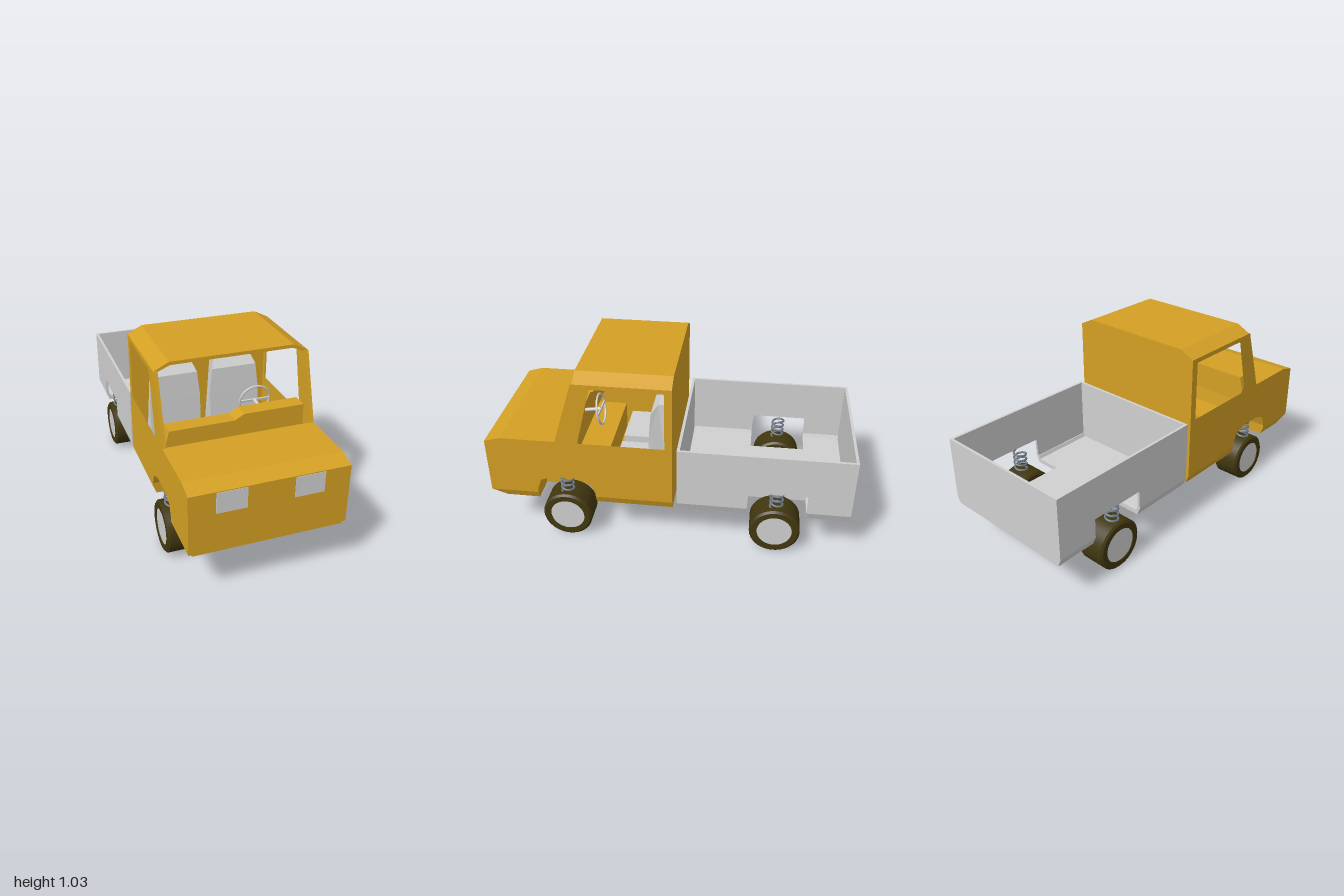
import * as THREE from 'three';
import { toCreasedNormals } from 'three/addons/utils/BufferGeometryUtils.js';

const mat = (name, color) => Object.assign(new THREE.MeshStandardMaterial({ color }), { name });

// Coil path for the suspension springs
class Helix extends THREE.Curve {
  constructor(radius, height, turns) {
    super();
    Object.assign(this, { radius, height, turns });
  }
  getPoint(t, target = new THREE.Vector3()) {
    const a = t * this.turns * Math.PI * 2;
    return target.set(Math.cos(a) * this.radius, t * this.height, Math.sin(a) * this.radius);
  }
}

const outline = (pts) => new THREE.Shape(pts.map(([a, b]) => new THREE.Vector2(a, b)));

// Extrude a [z, y] outline across x0..x1
function acrossX(pts, x0, x1, hole) {
  const s = outline(pts);
  if (hole) s.holes.push(outline(hole));
  return new THREE.ExtrudeGeometry(s, { depth: x1 - x0, bevelEnabled: false })
    .rotateY(-Math.PI / 2).translate(x1, 0, 0);
}

// Extrude an [x, y] outline along z0..z1
function alongZ(pts, z0, z1) {
  return new THREE.ExtrudeGeometry(outline(pts), { depth: z1 - z0, bevelEnabled: false }).translate(0, 0, z0);
}

function box(x0, x1, y0, y1, z0, z1) {
  return new THREE.BoxGeometry(x1 - x0, y1 - y0, z1 - z0)
    .translate((x0 + x1) / 2, (y0 + y1) / 2, (z0 + z1) / 2);
}

// Sill strip whose lower edge tucks inward, optionally with a slanted front end
function sill(side, z0, z1, zLow = z1) {
  const g = box(0.39, 0.41, 0.235, 0.28, z0, z1);
  const p = g.attributes.position;
  for (let i = 0; i < p.count; i++) {
    if (p.getY(i) < 0.25) {
      p.setX(i, p.getX(i) - 0.018);
      if (p.getZ(i) > z1 - 0.001) p.setZ(i, zLow);
    }
    p.setX(i, p.getX(i) * side);
  }
  if (side < 0) {
    const a = g.index.array;
    for (let i = 0; i < a.length; i += 3) [a[i], a[i + 1]] = [a[i + 1], a[i]];
  }
  const flat = g.toNonIndexed();
  flat.computeVertexNormals();
  return flat;
}

export function createModel() {
  const yellow = mat('yellow paint', 0xd4a024);
  const grey = mat('light grey', 0xd0d0d0);
  const rubber = mat('dark rubber', 0x41370f);
  const steel = mat('spring steel', 0x707a88);

  const model = new THREE.Group();
  model.name = 'pickupTruck';
  const group = (name) => {
    const g = new THREE.Group();
    g.name = name;
    model.add(g);
    return g;
  };
  const add = (parent, name, geo, material) => {
    const m = new THREE.Mesh(geo, material);
    m.name = name;
    parent.add(m);
    return m;
  };
  // Span lo..hi on the chosen side of the centre line
  const span = (side, lo, hi) => (side > 0 ? [lo, hi] : [-hi, -lo]);

  // Cab
  const cab = group('cab');
  const arch = [[0.73, 0.28], [0.73, 0.3], [0.705, 0.37], [0.635, 0.395], [0.5, 0.395], [0.425, 0.365], [0.4, 0.3], [0.4, 0.28]];
  const bonnet = [[0.6, 0.63], [0.91, 0.63], [1, 0.605]];
  const firewall = [[0.37, 0.235], [0.37, 0.42], [0.56, 0.42], [0.58, 0.6]];
  add(cab, 'noseCore', acrossX([...firewall, ...bonnet, [1, 0.27], [0.92, 0.235]], -0.25, 0.25), yellow);
  for (const side of [1, -1]) {
    const [a, b] = span(side, 0.25, 0.39);
    add(cab, 'noseSide', acrossX([...firewall, ...bonnet, [1, 0.27], [0.92, 0.235], [0.73, 0.235], ...arch, [0.4, 0.235]], a, b), yellow);
    const [c, d] = span(side, 0.39, 0.41);
    add(cab, 'sidePanel', acrossX(
      [[-0.03, 0.28], [-0.03, 0.99], [0.49, 0.99], [0.605, 0.63], ...bonnet, [1, 0.28], ...arch],
      c, d, [[0.01, 0.63], [0.01, 0.965], [0.395, 0.965], [0.48, 0.63]]), yellow);
    add(cab, 'frontSill', sill(side, 0.73, 1, 0.92), yellow);
    add(cab, 'doorSill', sill(side, -0.03, 0.4), yellow);
    const [e, f] = span(side, 0.12, 0.275);
    add(cab, 'headlight', box(e, f, 0.487, 0.6, 0.997, 1.002), grey);
  }
  add(cab, 'floor', box(-0.39, 0.39, 0.235, 0.255, -0.03, 0.37), yellow);
  add(cab, 'roof', alongZ([[-0.41, 0.99], [-0.39, 0.985], [-0.325, 1.012], [0.325, 1.012], [0.39, 0.985], [0.41, 0.99], [0.33, 1.03], [-0.33, 1.03]], -0.03, 0.482), yellow);
  add(cab, 'rearWall', alongZ([[-0.392, 0.235], [0.392, 0.235], [0.41, 0.28], [0.41, 0.99], [0.33, 1.03], [-0.33, 1.03], [-0.41, 0.99], [-0.41, 0.28]], -0.031, -0.012), yellow);
  add(cab, 'dashboard', alongZ([[-0.385, 0.55], [0.385, 0.55], [0.36, 0.63], [0.36, 0.73], [0.03, 0.73], [-0.02, 0.702], [-0.365, 0.702], [-0.385, 0.63]], 0.49, 0.575), yellow);

  // Seats, narrowing towards the top
  const seats = group('seats');
  for (const x of [-0.19, 0.16]) {
    const back = acrossX([[0, 0.255], [0.13, 0.255], [0.11, 0.63], [0.1, 0.77], [0.06, 0.82], [0, 0.82]], -0.145, 0.145);
    const p = back.attributes.position;
    for (let i = 0; i < p.count; i++) {
      const y = p.getY(i);
      p.setX(i, p.getX(i) * (y > 0.8 ? 0.76 : y > 0.75 ? 0.9 : 1));
    }
    back.computeVertexNormals();
    add(seats, 'seatBack', back, grey).position.x = x;
    add(seats, 'seatCushion', box(x - 0.145, x + 0.145, 0.255, 0.4, 0.1, 0.32), grey);
  }

  // Steering wheel on its column
  const steering = group('steering');
  steering.position.set(0.16, 0.705, 0.4);
  steering.rotation.x = 0.15;
  add(steering, 'steeringWheel', new THREE.TorusGeometry(0.085, 0.006, 8, 32), grey);
  add(steering, 'steeringSpoke', new THREE.BoxGeometry(0.165, 0.012, 0.008), grey);
  add(steering, 'steeringColumn', new THREE.CylinderGeometry(0.01, 0.01, 0.1, 12).rotateX(Math.PI / 2).translate(0, 0, 0.05), grey);

  // Cargo bed, with slots above the rear wheels
  const bed = group('cargoBed');
  for (const side of [1, -1]) {
    const [a, b] = span(side, 0.395, 0.41);
    add(bed, 'bedSide', acrossX([[-1, 0.28], [-1, 0.625], [-0.055, 0.625], [-0.055, 0.28],
      [-0.44, 0.28], [-0.445, 0.39], [-0.765, 0.39], [-0.765, 0.28]], a, b), grey);
    add(bed, 'bedSillFront', sill(side, -0.44, -0.055), grey);
    add(bed, 'bedSillRear', sill(side, -1, -0.765), grey);
    const [c, d] = span(side, 0.24, 0.392);
    add(bed, 'floorFront', box(c, d, 0.235, 0.26, -0.44, -0.055), grey);
    add(bed, 'floorRear', box(c, d, 0.235, 0.26, -1, -0.765), grey);
  }
  add(bed, 'floorCentre', box(-0.24, 0.24, 0.235, 0.26, -1, -0.055), grey);
  const endWall = [[-0.392, 0.235], [0.392, 0.235], [0.41, 0.28], [0.41, 0.625], [-0.41, 0.625], [-0.41, 0.28]];
  add(bed, 'bedFrontWall', alongZ(endWall, -0.07, -0.054), grey);
  add(bed, 'tailgate', alongZ(endWall, -1, -0.985), grey);

  // Wheels and springs
  const tyre = toCreasedNormals(new THREE.LatheGeometry(
    [[0.097, -0.08], [0.128, -0.08], [0.14, -0.07], [0.14, 0.07], [0.128, 0.08], [0.097, 0.08], [0.097, -0.08]]
      .map(([r, y]) => new THREE.Vector2(r, y)), 48), 0.5).rotateZ(-Math.PI / 2);
  const hub = new THREE.CylinderGeometry(0.098, 0.098, 0.15, 40).rotateZ(Math.PI / 2);
  const coil = new THREE.TubeGeometry(new Helix(0.034, 0.125, 4), 96, 0.006, 8);
  for (const [end, z] of [['front', 0.57], ['rear', -0.6]]) {
    for (const side of [1, -1]) {
      const wheel = group(end + 'Wheel');
      wheel.position.set(side * 0.34, 0.14, z);
      add(wheel, 'tyre', tyre, rubber);
      add(wheel, 'hub', hub, grey);
      add(model, end + 'Spring', coil, steel).position.set(side * 0.36, 0.268, z);
    }
  }
  return model;
}
